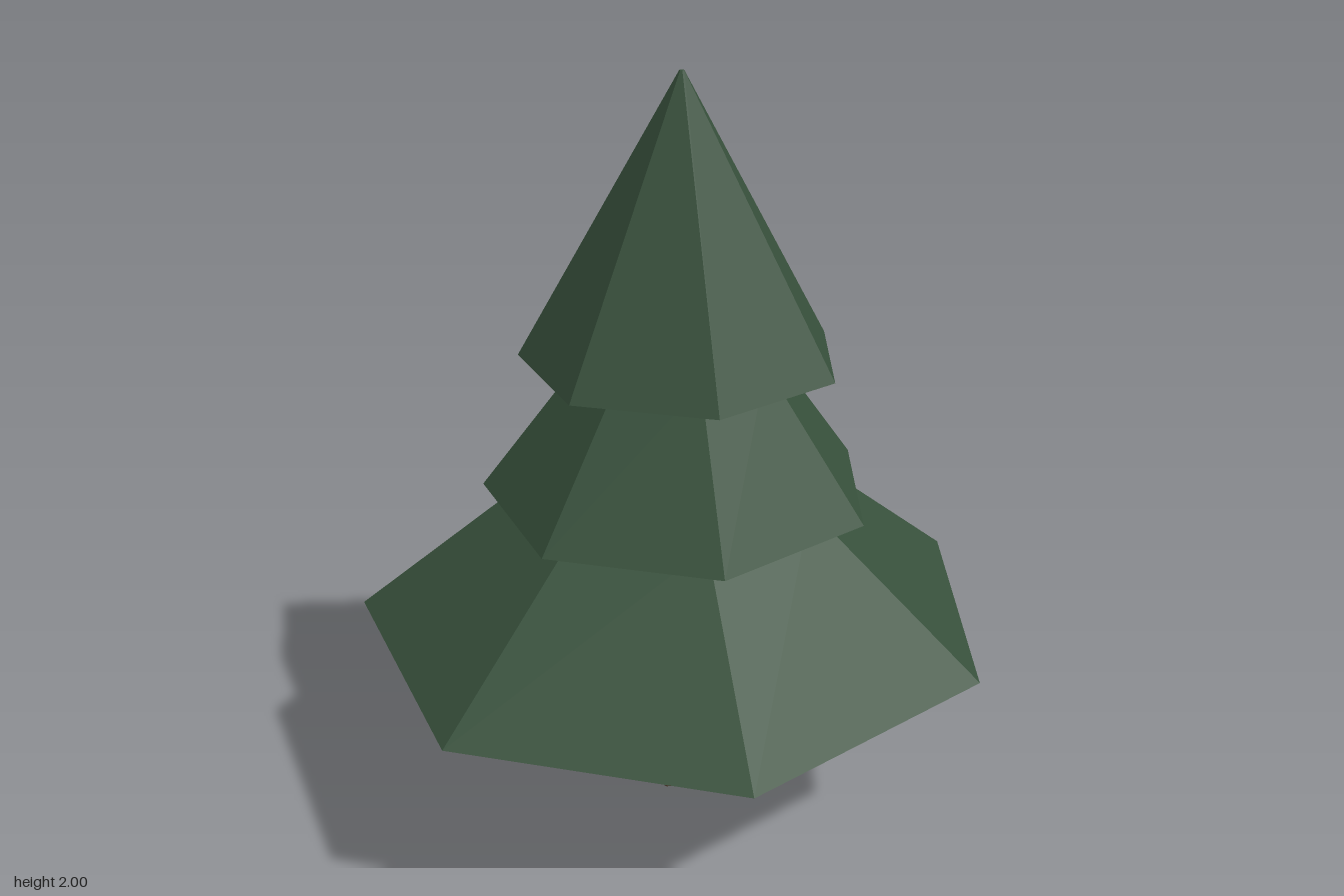
import * as THREE from 'three';

const mat = (color) => new THREE.MeshStandardMaterial({ color, flatShading: true });

// Tapered prism whose lower and upper rings may have different centres (a leaning frustum).
// base / top: { x, y, z, r }; the first corner points to the back (-z).
function frustum(name, sides, base, top, material) {
  const h = top.y - base.y;
  const geo = new THREE.CylinderGeometry(top.r, base.r, h, sides, 1, false, Math.PI);
  const p = geo.attributes.position;
  for (let i = 0; i < p.count; i++) {
    const t = p.getY(i) / h + 0.5;
    p.setXYZ(
      i,
      p.getX(i) + THREE.MathUtils.lerp(base.x, top.x, t),
      base.y + t * h,
      p.getZ(i) + THREE.MathUtils.lerp(base.z, top.z, t)
    );
  }
  geo.computeVertexNormals();
  const mesh = new THREE.Mesh(geo, material);
  mesh.name = name;
  return mesh;
}

export function createModel() {
  const tree = new THREE.Group();
  tree.name = 'pineTree';
  const needles = mat(0x37503b);
  const bark = mat(0x4a3828);
  const cut = mat(0xcccccc);

  // Six-sided trunk, bare cut face at the foot
  tree.add(frustum('trunk', 6,
    { x: -0.002, y: 0, z: 0.042, r: 0.09 },
    { x: -0.004, y: 0.56, z: 0.044, r: 0.063 },
    [bark, bark, cut]));

  // Seven-sided foliage tiers, each ending at the underside of the next
  const tiers = [
    ['lowerFoliage', { x: 0, y: 0.545, z: 0.038, r: 0.853 }, { x: 0, y: 0.927, z: 0.04, r: 0.381 }],
    ['middleFoliage', { x: 0.018, y: 0.927, z: 0.07, r: 0.51 }, { x: 0.025, y: 1.305, z: 0.078, r: 0.231 }],
    ['upperFoliage', { x: 0.035, y: 1.305, z: 0.11, r: 0.405 }, { x: 0.035, y: 2, z: 0.11, r: 0.006 }],
  ];
  for (const [name, base, top] of tiers) tree.add(frustum(name, 7, base, top, needles));

  return tree;
}
